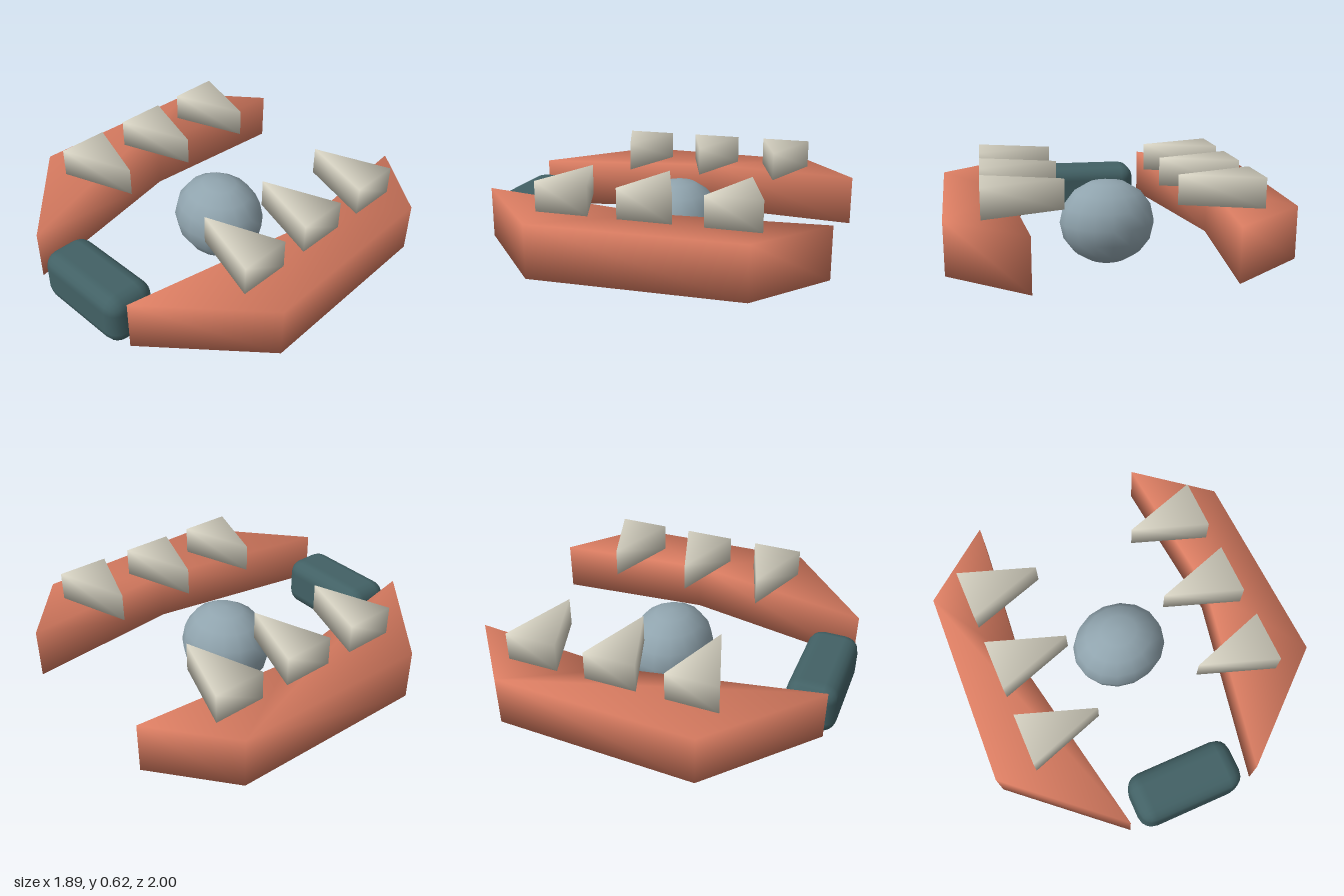
import * as THREE from 'three';
import { mergeVertices } from 'three/addons/utils/BufferGeometryUtils.js';
import { RoundedBoxGeometry } from 'three/addons/geometries/RoundedBoxGeometry.js';

const material = (name, color) => {
  const m = new THREE.MeshStandardMaterial({ color });
  m.name = name;
  return m;
};

// Upright prism from an [x, z] outline, with normals shared over its edges
function prism(outline, bottom, top) {
  const shape = new THREE.Shape(outline.map(([x, z]) => new THREE.Vector2(x, -z)));
  const geo = new THREE.ExtrudeGeometry(shape, { depth: top - bottom, bevelEnabled: false });
  geo.rotateX(-Math.PI / 2).translate(0, bottom, 0);
  geo.deleteAttribute('normal');
  geo.deleteAttribute('uv');
  const merged = mergeVertices(geo);
  merged.computeVertexNormals();
  return merged;
}

export function createModel() {
  const group = new THREE.Group();
  const coral = material('coral', 0xd97c61);
  const cream = material('cream', 0xd6d2c2);
  const blueGrey = material('blue grey', 0x90a4ae);
  const teal = material('dark teal', 0x426165);

  const add = (name, geometry, mat) => {
    const mesh = new THREE.Mesh(geometry, mat);
    mesh.name = name;
    group.add(mesh);
    return mesh;
  };

  for (const [side, s] of [['left', 1], ['right', -1]]) {
    // Bent side rail, pointed at both ends
    const rail = [[0.5, -1], [0.91, -0.67], [0.945, 0.46], [0.373, 0.96], [0.58, -0.1]];
    add(side + 'Rail', prism(rail.map(([x, z]) => [s * x, z]), 0.17, 0.457), coral);

    // Three wedge teeth pointing inwards
    [-0.55, -0.095, 0.355].forEach((z, i) => {
      const tooth = [[s * 0.725, z - 0.146], [s * 0.725, z + 0.146], [s * 0.298, z]];
      add(side + 'Tooth' + (i + 1), prism(tooth, 0.457, 0.62), cream);
    });
  }

  // Central ball, slightly wide
  const ball = add('ball', new THREE.SphereGeometry(1, 16, 8), blueGrey);
  ball.scale.set(0.278, 0.248, 0.246);
  ball.position.set(0, 0.248, -0.055);

  // Rounded block closing the front
  const block = add('frontBlock', new RoundedBoxGeometry(0.615, 0.3, 0.29, 2, 0.085), teal);
  block.position.set(0, 0.25, 0.855);

  return group;
}
